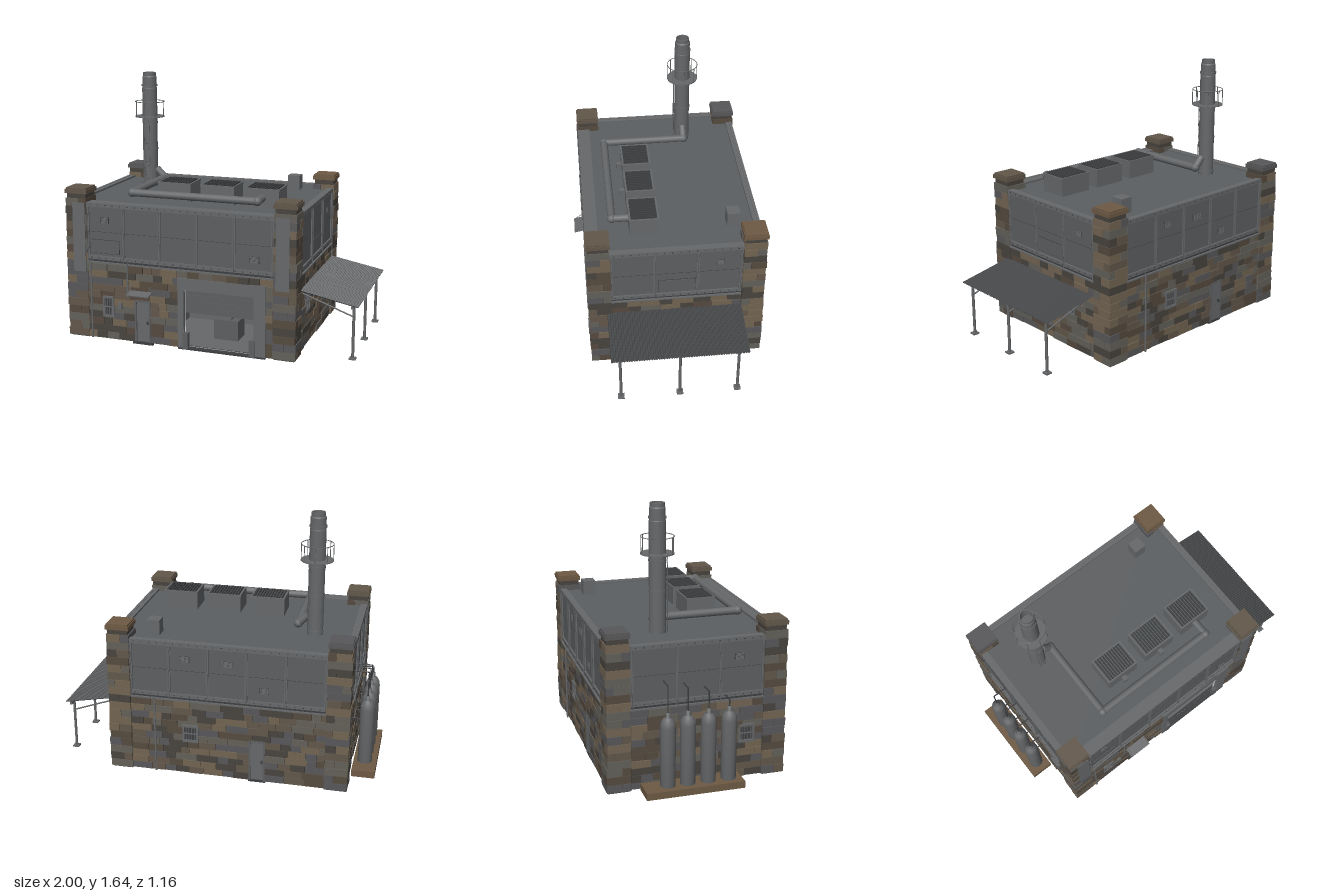
import * as THREE from 'three';
import { mergeGeometries } from 'three/addons/utils/BufferGeometryUtils.js';

const mat = (color, extra = {}) => new THREE.MeshStandardMaterial({ color, ...extra });
const metal = mat(0x66686a), dark = mat(0x3c3e40), panel = mat(0x5c5f61), timber = mat(0x6e5a44);
const metalThin = mat(0x66686a, { side: THREE.DoubleSide });
const mortar = mat(0x47443f, { side: THREE.DoubleSide }), lining = mat(0xcccccc, { side: THREE.DoubleSide });
const roofing = mat(0x484a4c, { side: THREE.DoubleSide, flatShading: true });
const stoneMats = [0x62574a, 0x726452, 0x58585a, 0x48443f, 0x636059, 0x554a3f].map((c) => mat(c));

let seed = 7;
const rnd = (a = 0, b = 1) => {
  seed = (seed * 16807) % 2147483647;
  return a + (b - a) * (seed / 2147483647);
};

function add(parent, name, geo, material, x = 0, y = 0, z = 0) {
  const m = new THREE.Mesh(geo, material);
  m.name = name;
  m.position.set(x, y, z);
  parent.add(m);
  return m;
}
// Box given by its extents along each axis
const boxGeo = (x, y, z) => new THREE.BoxGeometry(x[1] - x[0], y[1] - y[0], z[1] - z[0])
  .translate((x[0] + x[1]) / 2, (y[0] + y[1]) / 2, (z[0] + z[1]) / 2);
const box = (parent, name, m, x, y, z) => add(parent, name, boxGeo(x, y, z), m);
const around = (c, r) => [c - r, c + r];
const cyl = (parent, name, m, r, y0, y1, x, z, seg = 12) =>
  add(parent, name, new THREE.CylinderGeometry(r, r, y1 - y0, seg), m, x, (y0 + y1) / 2, z);
// Straight bar between two points
function bar(parent, name, m, a, b, r, seg = 8) {
  const p = new THREE.Vector3(...a), q = new THREE.Vector3(...b), d = q.clone().sub(p);
  const o = add(parent, name, new THREE.CylinderGeometry(r, r, d.length(), seg), m);
  o.position.copy(p).add(q).multiplyScalar(0.5);
  o.quaternion.setFromUnitVectors(new THREE.Vector3(0, 1, 0), d.normalize());
}

// Stones are gathered by colour and merged
function stonePile() {
  const piles = stoneMats.map(() => []);
  return {
    put: (g) => piles[Math.floor(rnd(0, 5.999))].push(g),
    flush: (parent, name) => piles.forEach((p, i) => p.length && add(parent, name, mergeGeometries(p), stoneMats[i])),
  };
}

function barredWindow(parent, u, y0, y1, w) {
  const g = new THREE.Group();
  g.name = 'barredWindow';
  parent.add(g);
  box(g, 'pane', dark, around(u, w / 2), [y0, y1], [0, 0.006]);
  for (const s of [-1, 1]) box(g, 'windowJamb', metal, around(u + s * w / 2, 0.006), [y0, y1], [0, 0.02]);
  for (const y of [y0, y1]) box(g, 'windowSill', metal, around(u, w / 2 + 0.006), around(y, 0.006), [0, 0.022]);
  for (let i = 1; i < 5; i++) cyl(g, 'windowBar', metal, 0.0025, y0, y1, u - w / 2 + w * i / 5, 0.018, 6);
  box(g, 'crossBar', metal, around(u, w / 2), around((y0 + y1) / 2, 0.003), [0.014, 0.02]);
}

function door(parent, u, w, h, step) {
  box(parent, 'door', metal, around(u, w / 2 - 0.01), [0.015, h - 0.01], [0, 0.01]);
  for (const s of [-1, 1]) box(parent, 'doorJamb', panel, around(u + s * (w / 2 - 0.005), 0.006), [0.01, h], [0, 0.02]);
  box(parent, 'doorHead', panel, around(u, w / 2), [h - 0.012, h], [0, 0.02]);
  box(parent, 'doorHandle', dark, [u + w / 4, u + w / 4 + 0.012], [0.13, 0.15], [0.008, 0.018]);
  box(parent, 'doorstep', dark, around(u, w / 2 + step), [0, 0.015], [0, 0.01 + step]);
}

// One wall in its own frame: x along, y up, z outwards. holes: [x0, x1, y1, y0]
function wall(root, name, half, angle, dist, { holes, gate, bays, vents }) {
  const g = new THREE.Group();
  g.name = name;
  g.rotation.y = angle;
  g.position.set(-0.1 + Math.sin(angle) * dist, 0, -0.03 + Math.cos(angle) * dist);
  root.add(g);
  const s = new THREE.Shape([[-half, 0.01], [half, 0.01], [half, 0.88], [-half, 0.88]].map((p) => new THREE.Vector2(...p)));
  if (gate) s.holes.push(new THREE.Path([[gate[0], 0.015], [gate[0], gate[2]], [gate[1], gate[2]], [gate[1], 0.015]].map((p) => new THREE.Vector2(...p))));
  add(g, 'wallBacking', new THREE.ShapeGeometry(s), mortar);
  add(g, 'innerLining', new THREE.ShapeGeometry(s), lining, 0, 0, -0.012);
  // stone courses
  const pile = stonePile(), rows = 11, h = 0.49 / rows;
  for (let r = 0; r < rows; r++) {
    const y = 0.01 + r * h;
    const cuts = holes.filter(([, , y1, y0]) => y + h / 2 < y1 && y + h / 2 > y0).sort((a, b) => a[0] - b[0]);
    let from = -half;
    for (const [c0, c1] of [...cuts, [half, half]]) {
      while (from < c0 - 0.001) {
        let to = Math.min(from + rnd(0.055, 0.14), c0);
        if (c0 - to < 0.03) to = c0;
        pile.put(boxGeo([from + 0.001, to - 0.001], [y + 0.001, y + h - 0.001], [-0.004, rnd(0.01, 0.02)]));
        from = to;
      }
      from = c1;
    }
  }
  pile.flush(g, 'wallStones');
  // metal upper band
  box(g, 'upperCladding', panel, [-half, half], [0.52, 0.885], [-0.01, 0.008]);
  box(g, 'bandLedge', metal, [-half, half], [0.527, 0.55], [0, 0.018]);
  box(g, 'bandFoot', metal, [-half, half], [0.505, 0.513], [0, 0.025]);
  box(g, 'bandWeb', dark, [-half, half], [0.513, 0.527], [0, 0.012]);
  box(g, 'bandTopRail', metal, [-half, half], [0.865, 0.89], [0, 0.018]);
  const rivets = [];
  for (let u = -half + 0.03; u < half - 0.02; u += 0.05)
    for (const y of [0.538, 0.877]) rivets.push(boxGeo(around(u, 0.003), around(y, 0.003), [0.017, 0.021]));
  add(g, 'rivets', mergeGeometries(rivets), dark);
  for (let i = 0; i <= bays; i++) {
    const u = -half + 0.008 + (2 * half - 0.016) * i / bays;
    box(g, 'bandPost', metal, around(u, 0.008), [0.55, 0.865], [0, 0.016]);
    bar(g, 'postTube', metal, [u, 0.5, 0.02], [u, 0.865, 0.02], 0.003, 6);
    if (i < bays) box(g, 'panelSeam', dark, [u + 0.012, u + 2 * half / bays - 0.014], [0.703, 0.705], [0, 0.009]);
  }
  for (const [u, y, w, vh] of vents) {
    box(g, 'ventFrame', dark, around(u, w / 2), around(y, vh / 2), [0, 0.01]);
    if (w > 0.1) box(g, 'ventCover', panel, around(u, w / 2 - 0.003), around(y, vh / 2 - 0.003), [0, 0.013]);
    else for (let k = 0; k < 4; k++) box(g, 'ventSlat', metal, around(u, w / 2 - 0.004), around(y - vh / 2 + vh * (k + 0.5) / 4, vh / 11), [0, 0.014]);
  }
  for (const [a, b, y1, y0] of holes) if (y0 > 0.05) barredWindow(g, (a + b) / 2, y0, y1, b - a - 0.012);
  return g;
}

function cornerPillar(root, x, z, capMat) {
  const g = new THREE.Group();
  g.name = 'cornerPillar';
  g.position.set(x, 0, z);
  root.add(g);
  box(g, 'pillarCore', stoneMats[3], around(0, 0.064), [0.005, 0.95], around(0, 0.064));
  const pile = stonePile(), n = 18, h = 0.9 / n;
  for (let i = 0; i < n; i++) {
    const y = [0.01 + i * h + 0.001, 0.01 + (i + 1) * h - 0.001], split = rnd(-0.03, 0.03);
    for (const [a, b] of [[-1, split - 0.001], [split + 0.001, 1]]) {
      const lo = a === -1 ? -rnd(0.068, 0.074) : a, hi = b === 1 ? rnd(0.068, 0.074) : b;
      const c = [-rnd(0.068, 0.074), rnd(0.068, 0.074)];
      pile.put(i % 2 ? boxGeo([lo, hi], y, c) : boxGeo(c, y, [lo, hi]));
    }
  }
  pile.flush(g, 'pillarStones');
  box(g, 'pillarCap', capMat, around(0, 0.074), [0.94, 0.965], around(0, 0.074));
  box(g, 'pillarCapTop', capMat, around(0, 0.068), [0.965, 0.975], around(0, 0.068));
}

function chimney(root) {
  const g = new THREE.Group();
  g.name = 'chimney';
  g.position.set(-0.575, 0, -0.2);
  root.add(g);
  const prof = [[0.05, 0.87], [0.05, 1.54], [0.048, 1.545], [0.048, 1.615], [0.043, 1.622], [0.043, 1.645], [0.036, 1.645], [0.036, 1.5], [0, 1.5]];
  add(g, 'stack', new THREE.LatheGeometry(prof.map((p) => new THREE.Vector2(...p)), 24), mat(0x66686a, { flatShading: true }));
  for (const y of [0.9, 1.13, 1.31, 1.56]) cyl(g, 'stackBand', metal, 0.053, y - 0.006, y + 0.006, 0, 0, 24);
  cyl(g, 'platform', metal, 0.1, 1.347, 1.353, 0, 0, 24);
  add(g, 'platformRail', new THREE.TorusGeometry(0.098, 0.0025, 6, 32).rotateX(Math.PI / 2), metal, 0, 1.45);
  for (let i = 0; i < 8; i++) cyl(g, 'railPost', metal, 0.0025, 1.35, 1.45, 0.098 * Math.cos(i * Math.PI / 4), 0.098 * Math.sin(i * Math.PI / 4), 6);
  for (const x of [-0.019, 0.019]) cyl(g, 'ladderRail', metal, 0.002, 0.87, 1.35, x, 0.056, 6);
  for (let y = 0.9; y < 1.34; y += 0.03) bar(g, 'ladderRung', metal, [-0.019, y, 0.056], [0.019, y, 0.056], 0.0015, 5);
}

function roofUnit(root, x, outlet) {
  const g = new THREE.Group();
  g.name = 'coolingUnit';
  g.position.set(x, 0, 0.148);
  root.add(g);
  box(g, 'unitBody', metal, around(0, 0.11), [0.87, 0.985], around(0, 0.09));
  box(g, 'unitTopPlate', panel, around(0, 0.1), [0.985, 0.99], around(0, 0.082));
  for (const s of [-1, 1]) {
    box(g, 'unitRim', metal, around(0, 0.112), [0.982, 0.994], around(s * 0.087, 0.005));
    box(g, 'unitRim', metal, around(s * 0.107, 0.005), [0.982, 0.994], around(0, 0.092));
  }
  for (let i = -5; i <= 5; i++) box(g, 'unitGrille', dark, around(i * 0.018, 0.005), [0.989, 0.999], around(0, 0.08));
  if (outlet) box(g, 'unitOutlet', metal, around(0, 0.015), [0.89, 0.93], [0.09, 0.122]);
}

export function createModel() {
  const root = new THREE.Group();
  root.name = 'industrialBuilding';

  // walls
  const front = wall(root, 'frontWall', 0.61, 0, 0.522, {
    holes: [[0, 0.565, 0.46, 0], [-0.29, -0.185, 0.285, 0], [-0.51, -0.435, 0.285, 0.16]], gate: [0.04, 0.49, 0.385], bays: 5,
    vents: [[-0.49, 0.61, 0.2, 0.09], [0.49, 0.615, 0.06, 0.04], [-0.49, 0.78, 0.06, 0.04]],
  });
  wall(root, 'rightWall', 0.405, Math.PI / 2, 0.726, {
    holes: [[-0.265, -0.165, 0.34, 0.235], [0.125, 0.225, 0.34, 0.235]], bays: 3, vents: [[0.005, 0.61, 0.23, 0.09], [0.27, 0.77, 0.05, 0.035]],
  });
  const back = wall(root, 'backWall', 0.61, Math.PI, 0.523, {
    holes: [[-0.28, -0.18, 0.34, 0.235], [0.14, 0.24, 0.285, 0]], bays: 5, vents: [[-0.26, 0.78, 0.06, 0.04], [0.23, 0.62, 0.06, 0.04], [0, 0.77, 0.08, 0.04]],
  });
  wall(root, 'leftWall', 0.405, -Math.PI / 2, 0.726, { holes: [[0.25, 0.35, 0.34, 0.235]], bays: 3, vents: [[0.25, 0.77, 0.06, 0.04]] });
  cornerPillar(root, -0.78, -0.509, stoneMats[2]);
  cornerPillar(root, 0.58, -0.509, timber);
  cornerPillar(root, -0.78, 0.441, stoneMats[0]);
  cornerPillar(root, 0.58, 0.441, stoneMats[0]);
  for (const x of [-0.76, 0.567]) box(root, 'cornerPlate', metal, around(x, 0.042), [0.44, 0.885], [0.49, 0.519]);

  // doors, awning and pipes
  door(front, -0.2375, 0.105, 0.285, 0.015);
  door(back, 0.19, 0.1, 0.285, 0.005);
  const awning = box(front, 'doorAwning', metal, around(0, 0.075), around(0, 0.003), [0, 0.07]);
  awning.position.set(-0.245, 0.345, 0.015);
  awning.rotation.x = 0.2;
  for (const u of [-0.31, -0.18]) bar(front, 'awningStay', metal, [u, 0.385, 0.015], [u, 0.335, 0.08], 0.002);
  box(front, 'meterBox', metal, [-0.4, -0.375], [0.22, 0.26], [0, 0.03]);
  for (const [w, u, y] of [[front, -0.585, 0.01], [front, -0.335, 0.3], [back, -0.455, 0.01]]) cyl(w, 'downpipe', metal, 0.006, y, 0.52, u, 0.024, 8);

  // garage gate and the room behind it, open towards the gate
  box(front, 'gateLintel', metal, [0, 0.565], [0.385, 0.46], [0, 0.024]);
  for (const [a, b] of [[0, 0.04], [0.49, 0.565]]) box(front, 'gateJamb', metal, [a, b], [0.005, 0.385], [0, 0.022]);
  for (const u of [0.05, 0.48]) box(front, 'gateBumper', panel, around(u, 0.018), [0.005, 0.11], [0, 0.028]);
  const room = boxGeo([-0.14, 0.56], [0.008, 0.4], [-0.54, -0.014]);
  room.setIndex([...room.index.array].filter((_, i) => i < 24 || i >= 30));
  room.clearGroups();
  add(front, 'garageRoom', room, metalThin);
  for (let i = 0; i < 8; i++) box(front, 'shutterSlat', panel, [0.04, 0.49], [0.23 + i * 0.0195, 0.249 + i * 0.0195], [-0.03, -0.02 + (i % 2) * 0.003]);
  box(front, 'workbench', panel, [0.16, 0.32], [0.01, 0.14], [-0.33, -0.2]);
  box(front, 'machineHead', metal, [0.18, 0.27], [0.14, 0.19], [-0.31, -0.22]);
  bar(front, 'machineArm', metal, [0.18, 0.2, -0.26], [0.31, 0.15, -0.26], 0.01);
  box(front, 'gateThreshold', dark, [0, 0.565], [0.002, 0.012], [-0.03, 0.024]);

  // roof
  box(root, 'roofDeck', panel, [-0.83, 0.63], [0.865, 0.875], [-0.565, 0.495]);
  for (const [x, z] of [[[-0.84, 0.64], [0.43, 0.503]], [[-0.84, 0.64], [-0.573, -0.53]], [[-0.84, -0.8], [-0.56, 0.5]], [[0.6, 0.643], [-0.56, 0.5]]])
    box(root, 'parapet', metal, x, [0.862, 0.888], z);
  chimney(root);
  [-0.227, 0.062, 0.352].forEach((x, i) => roofUnit(root, x, i < 2));
  box(root, 'roofVentBox', metal, [0.35, 0.43], [0.87, 0.97], [-0.445, -0.365]);
  const duct = [[-0.53, 0.995, -0.2], [-0.47, 0.935, -0.2], [-0.47, 0.935, 0.34], [0.355, 0.935, 0.34], [0.355, 0.935, 0.23]];
  for (let i = 0; i < 4; i++) {
    bar(root, 'roofDuct', metal, duct[i], duct[i + 1], 0.024, 16);
    if (i) add(root, 'ductElbow', new THREE.SphereGeometry(0.028, 14, 10), metal, ...duct[i]);
  }

  // corrugated canopy
  const sheet = new THREE.PlaneGeometry(0.355, 0.84, 1, 224).rotateX(-Math.PI / 2).translate(0.8225, 0, -0.02);
  const p = sheet.attributes.position;
  for (let i = 0; i < p.count; i++) p.setY(i, 0.42 - (p.getX(i) - 0.645) * 0.19 + ((i >> 1) % 4 < 2 ? 0.003 : -0.003));
  add(root, 'canopySheet', sheet, roofing);
  box(root, 'canopyBeam', metal, around(0.965, 0.008), [0.336, 0.353], [-0.435, 0.395]);
  for (const z of [0.345, -0.02, -0.38]) {
    cyl(root, 'canopyPost', metal, 0.009, 0.01, 0.35, 0.965, z, 8);
    box(root, 'postFoot', metal, around(0.965, 0.02), [0.008, 0.018], around(z, 0.02));
    bar(root, 'canopyBrace', metal, [0.645, 0.39, z], [0.965, 0.275, z], 0.005);
  }

  // gas bottles on their plinth
  box(root, 'bottlePlinth', timber, [-1, -0.855], [0.012, 0.055], [-0.385, 0.21]);
  const bottle = new THREE.LatheGeometry([[0, 0.055], [0.045, 0.055], [0.045, 0.42], [0.04, 0.45], [0.026, 0.472], [0.012, 0.48], [0.012, 0.505], [0, 0.505]]
    .map((q) => new THREE.Vector2(...q)), 20);
  [-0.24, -0.12, 0.005, 0.13].forEach((z, i) => {
    const y = [0.665, 0.64, 0.61, 0.545][i];
    add(root, 'gasBottle', bottle, metal, -0.925, 0, z);
    cyl(root, 'bottleRiser', dark, 0.004, 0.5, y, -0.925, z, 8);
    bar(root, 'bottleFeed', dark, [-0.925, y, z], [-0.82, y, z], 0.004);
    bar(root, 'bottleBracket', dark, [-0.9, 0.345, z], [-0.82, 0.345, z], 0.004);
  });
  return root;
}
